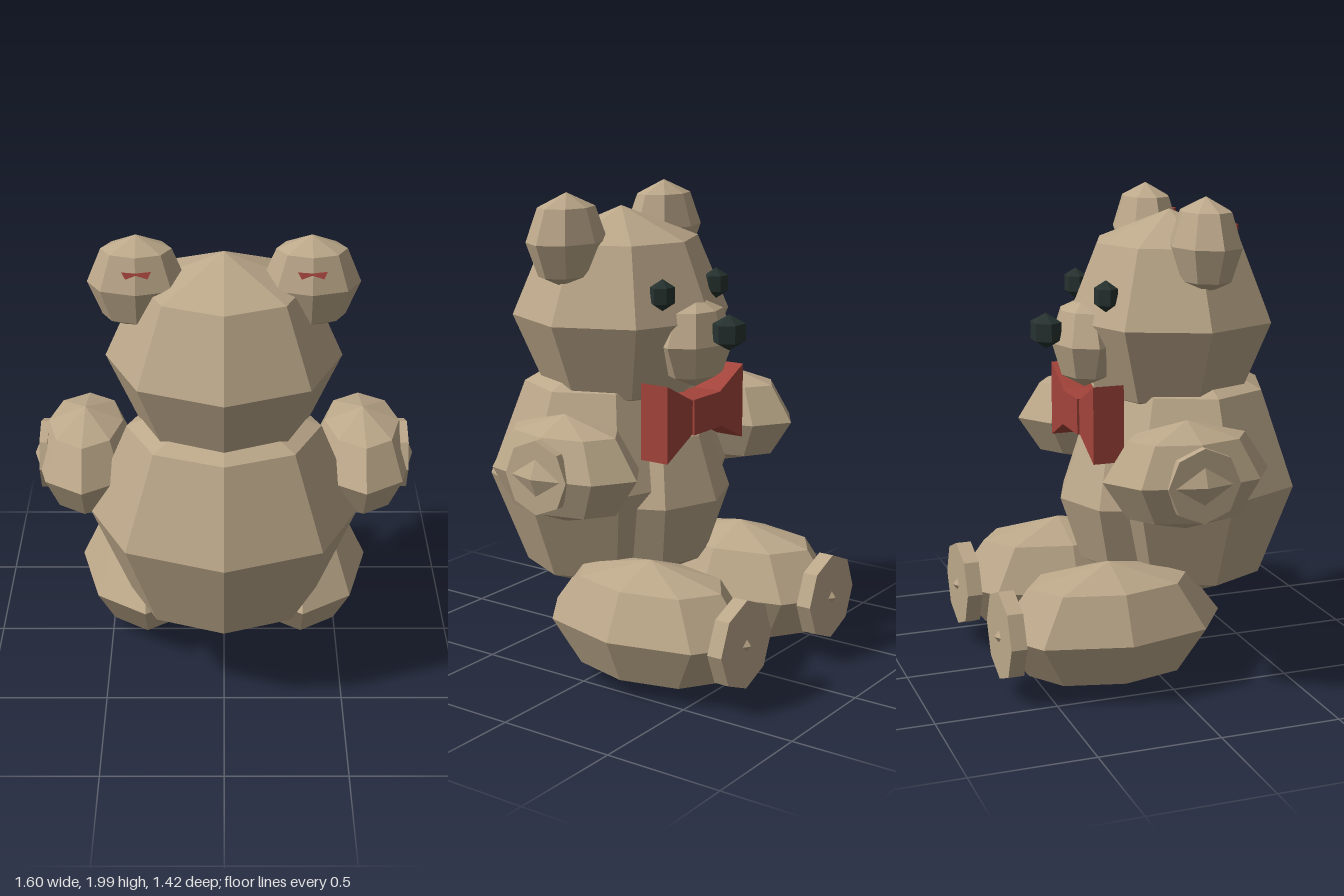
import * as THREE from 'three';

export function createModel() {
  const model = new THREE.Group();
  model.name = 'teddyBear';

  const material = (name, color) => {
    const m = new THREE.MeshStandardMaterial({ color, flatShading: true });
    m.name = name;
    return m;
  };
  const fur = material('tan fur', 0xbca88a);
  const black = material('dark nose and eyes', 0x26322f);
  const red = material('red ribbon', 0xa3443b);

  const add = (name, geometry, mat, position) => {
    const mesh = new THREE.Mesh(geometry, mat);
    mesh.name = name;
    mesh.position.set(...position);
    model.add(mesh);
    return mesh;
  };

  // Low-poly ellipsoids: stuffed parts are 8 x 4, buttons are 6 x 3
  const ball = (name, position, radii, mat = fur, sides = 8, rows = 4) =>
    add(name, new THREE.SphereGeometry(1, sides, rows).scale(...radii), mat, position);
  const button = (name, position, radii) => ball(name, position, radii, black, 6, 3);

  // Torso and head; the face looks towards -z
  ball('body', [0, 0.79, 0.23], [0.56, 0.56, 0.48]);
  ball('belly', [0, 0.72, -0.013], [0.34, 0.38, 0.307]);
  ball('head', [0, 1.475, 0.165], [0.475, 0.445, 0.45]);
  ball('muzzle', [0, 1.385, -0.21], [0.2, 0.19, 0.14]);
  button('nose', [0, 1.44, -0.375], [0.092, 0.074, 0.073]);

  // Small red patch showing on the back of each ear
  const patchShape = new THREE.Shape([
    [-0.055, 0.01], [-0.04, -0.017], [0, -0.002], [0.045, -0.016],
    [0.058, 0.012], [0, 0.006],
  ].map(([x, y]) => new THREE.Vector2(x, y)));
  const patchGeometry = new THREE.ExtrudeGeometry(patchShape, { depth: 0.008, bevelEnabled: false });

  for (const [side, s] of [['left', 1], ['right', -1]]) {
    ball(side + 'Ear', [s * 0.34, 1.805, 0.187], [0.195, 0.195, 0.143]);
    const patch = add(side + 'EarPatch', patchGeometry, red, [s * 0.337, 1.88, 0.301]);
    patch.rotation.x = -0.3;
    button(side + 'Eye', [s * 0.195, 1.6, -0.182], [0.066, 0.065, 0.054]);

    // Limbs with octagonal pads, corners on the axes
    ball(side + 'Arm', [s * 0.58, 0.94, 0.017], [0.22, 0.22, 0.35]);
    add(side + 'PawPad', new THREE.CylinderGeometry(0.15, 0.15, 0.034, 8).rotateZ(Math.PI / 2),
      fur, [s * 0.752, 0.94, 0.017]);
    ball(side + 'Leg', [s * 0.34, 0.272, -0.225], [0.3, 0.265, 0.487]);
    add(side + 'FootPad', new THREE.CylinderGeometry(0.185, 0.185, 0.065, 8).rotateX(Math.PI / 2),
      fur, [s * 0.34, 0.275, -0.66]);
  }

  // Bow tie: flared wings and a knot
  const wings = new THREE.Shape([
    [-0.28, -0.16], [-0.1, -0.07], [0.1, -0.07], [0.28, -0.16],
    [0.28, 0.16], [0.1, 0.07], [-0.1, 0.07], [-0.28, 0.16],
  ].map(([x, y]) => new THREE.Vector2(x, y)));
  add('bowWings', new THREE.ExtrudeGeometry(wings, { depth: 0.13, bevelEnabled: false }),
    red, [0, 1.09, -0.267]);
  add('bowKnot', new THREE.BoxGeometry(0.2, 0.15, 0.136), red, [0, 1.09, -0.208]);

  return model;
}
